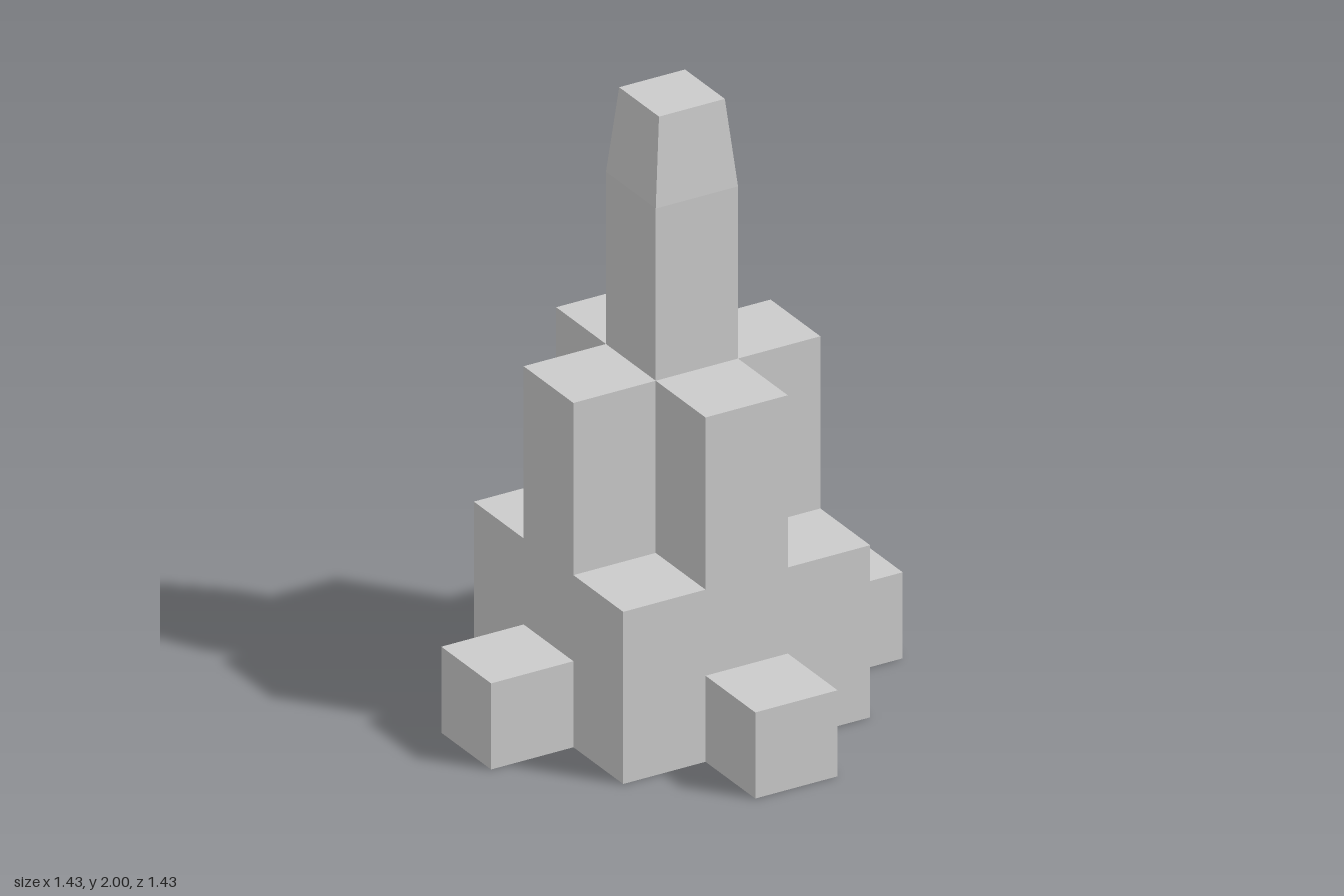
import * as THREE from 'three';

const U = 2 / 7; // block size: the tower is seven blocks tall

export function createModel() {
  const group = new THREE.Group();
  const material = new THREE.MeshStandardMaterial({ color: 0xcccccc, flatShading: true });

  const add = (name, geometry, x, y, z) => {
    const mesh = new THREE.Mesh(geometry, material);
    mesh.name = name;
    mesh.position.set(x, y, z);
    group.add(mesh);
    return mesh;
  };

  // Square base block, three wide and two tall
  add('base', new THREE.BoxGeometry(3 * U, 2 * U, 3 * U), 0, U, 0);

  // One cube foot in the middle of each side
  const sides = { left: [1, 0], right: [-1, 0], front: [0, 1], back: [0, -1] };
  for (const [side, [dx, dz]] of Object.entries(sides)) {
    add(side + 'Foot', new THREE.BoxGeometry(U, U, U), dx * 2 * U, U / 2, dz * 2 * U);
  }

  // Plus-shaped middle tier, two blocks tall
  const a = U / 2, b = 1.5 * U;
  const plus = new THREE.Shape([
    [a, -b], [a, -a], [b, -a], [b, a], [a, a], [a, b],
    [-a, b], [-a, a], [-b, a], [-b, -a], [-a, -a], [-a, -b],
  ].map(([x, y]) => new THREE.Vector2(x, y)));
  const tier = new THREE.ExtrudeGeometry(plus, { depth: 2 * U, bevelEnabled: false });
  tier.rotateX(-Math.PI / 2);
  add('crossTier', tier, 0, 2 * U, 0);

  // Square spire shaft
  add('spire', new THREE.BoxGeometry(U, 2 * U, U), 0, 5 * U, 0);

  // Tapered tip: a four-sided frustum turned square to the shaft
  const tip = new THREE.CylinderGeometry(0.4 * U * Math.SQRT2, a * Math.SQRT2, U, 4);
  tip.rotateY(Math.PI / 4);
  add('spireTip', tip, 0, 6.5 * U, 0);

  return group;
}
